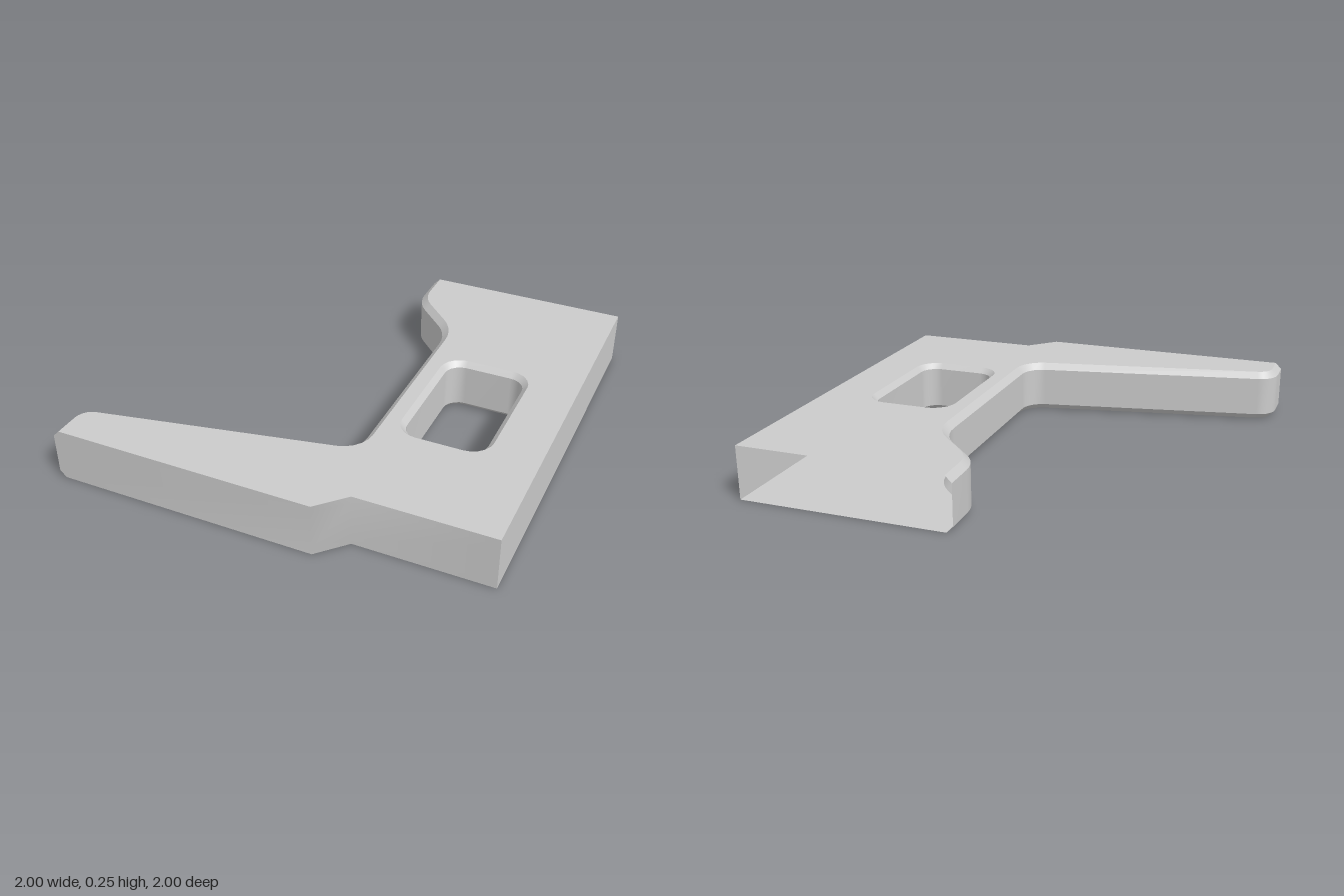
import * as THREE from 'three';

const H = 0.25;      // plate thickness
const V = (x, z) => new THREE.Vector2(x, z);

// Path through [x, z, tangentLength] corners; corners with a length become circular arcs.
function roundedPath(corners, segments = 5) {
  const out = [];
  corners.forEach(([x, z, t], i) => {
    const c = V(x, z);
    if (!t) { out.push(c); return; }
    const dirTo = ([px, pz]) => V(px, pz).sub(c).normalize();
    const d0 = dirTo(corners[i - 1]), d1 = dirTo(corners[i + 1]);
    const a = c.clone().addScaledVector(d0, t), b = c.clone().addScaledVector(d1, t);
    const w = Math.sqrt((1 - d0.dot(d1)) / 2); // conic weight giving a true arc
    for (let k = 0; k <= segments; k++) {
      const s = k / segments;
      const wa = (1 - s) ** 2, wc = 2 * w * s * (1 - s), wb = s * s;
      out.push(V(0, 0).addScaledVector(a, wa).addScaledVector(c, wc).addScaledVector(b, wb)
        .divideScalar(wa + wc + wb));
    }
  });
  return out;
}

// Mitred offset of a path towards the material side.
function offset(path, d) {
  const normal = (a, b) => { const t = b.clone().sub(a).normalize(); return V(t.y, -t.x); };
  return path.map((p, i) => {
    const n0 = i > 0 ? normal(path[i - 1], p) : normal(p, path[1]);
    const n1 = i < path.length - 1 ? normal(p, path[i + 1]) : n0;
    return p.clone().addScaledVector(n0.clone().add(n1), d / (1 + n0.dot(n1)));
  });
}

// Surface between stacked rows [path, y], smooth along its length.
function strip(...rows) {
  const n = rows[0][0].length, pos = [], idx = [];
  rows.forEach(([path, y]) => path.forEach(p => pos.push(p.x, y, p.y)));
  for (let j = 0; j < rows.length - 1; j++) {
    for (let i = 0; i < n - 1; i++) {
      const a = j * n + i, b = a + 1, c = b + n, d = a + n;
      idx.push(a, b, c, a, c, d);
    }
  }
  const g = new THREE.BufferGeometry();
  g.setAttribute('position', new THREE.Float32BufferAttribute(pos, 3));
  g.setIndex(idx);
  g.computeVertexNormals();
  return g;
}

export function createModel() {
  const model = new THREE.Group();
  model.name = 'bracketPlate';
  const material = new THREE.MeshStandardMaterial({ color: 0xcccccc, side: THREE.DoubleSide });
  const add = (name, geometry, parent = model) => {
    const mesh = new THREE.Mesh(geometry, material);
    mesh.name = name;
    parent.add(mesh);
    return mesh;
  };

  // Upright wall with a chamfer along its top and bottom edges
  const chamferedWall = (name, path, c) => {
    const group = new THREE.Group();
    group.name = name;
    const rim = offset(path, c);
    add(name + 'LowerChamfer', strip([rim, 0], [path, c]), group);
    add(name + 'Face', strip([path, c], [path, H - c]), group);
    add(name + 'UpperChamfer', strip([path, H - c], [rim, H]), group);
    model.add(group);
    return rim;
  };

  // Inner edge: from the open back end, round the recess and out to the arm tip
  const inner = roundedPath([
    [0, -1], [0, -0.765, 0.09], [0.25, -0.515, 0.095],
    [0.25, 0.545, 0.09], [-1, 0.797, 0.085], [-1, 1],
  ]);
  const c = 0.03;
  const innerRim = chamferedWall('innerEdge', inner, c);

  // Rounded window, starting mid-side so the seam lies on a flat
  const windowPath = roundedPath([
    [0.373, 0.06], [0.373, -0.255, 0.08], [0.75, -0.255, 0.08],
    [0.75, 0.373, 0.08], [0.373, 0.373, 0.08], [0.373, 0.06],
  ]);
  const windowRim = chamferedWall('window', windowPath, 0.025);

  // Front wall with the angled step; its arm end follows the chamfer
  const front = [V(-1, 1), V(0.25, 1), V(0.37, 0.875), V(1, 0.875)];
  const frontRim = [V(-1 + c, 1), ...front.slice(1)];
  add('frontWall', strip([frontRim, 0], [front, c], [front, H - c], [frontRim, H]));

  // Straight side wall; the back end stays open
  const side = [V(1, 0.875), V(1, -1)];
  add('sideWall', strip([side, 0], [side, H]));

  // Top and bottom skins with the window cut out
  const skin = up => {
    const flip = p => V(p.x, up ? -p.y : p.y);
    const shape = new THREE.Shape([...innerRim, ...front.slice(1), V(1, -1)].map(flip));
    shape.holes.push(new THREE.Path(windowRim.slice(0, -1).map(flip)));
    return new THREE.ShapeGeometry(shape).rotateX(up ? -Math.PI / 2 : Math.PI / 2);
  };
  add('topSkin', skin(true)).position.y = H;
  add('bottomSkin', skin(false));

  return model;
}
